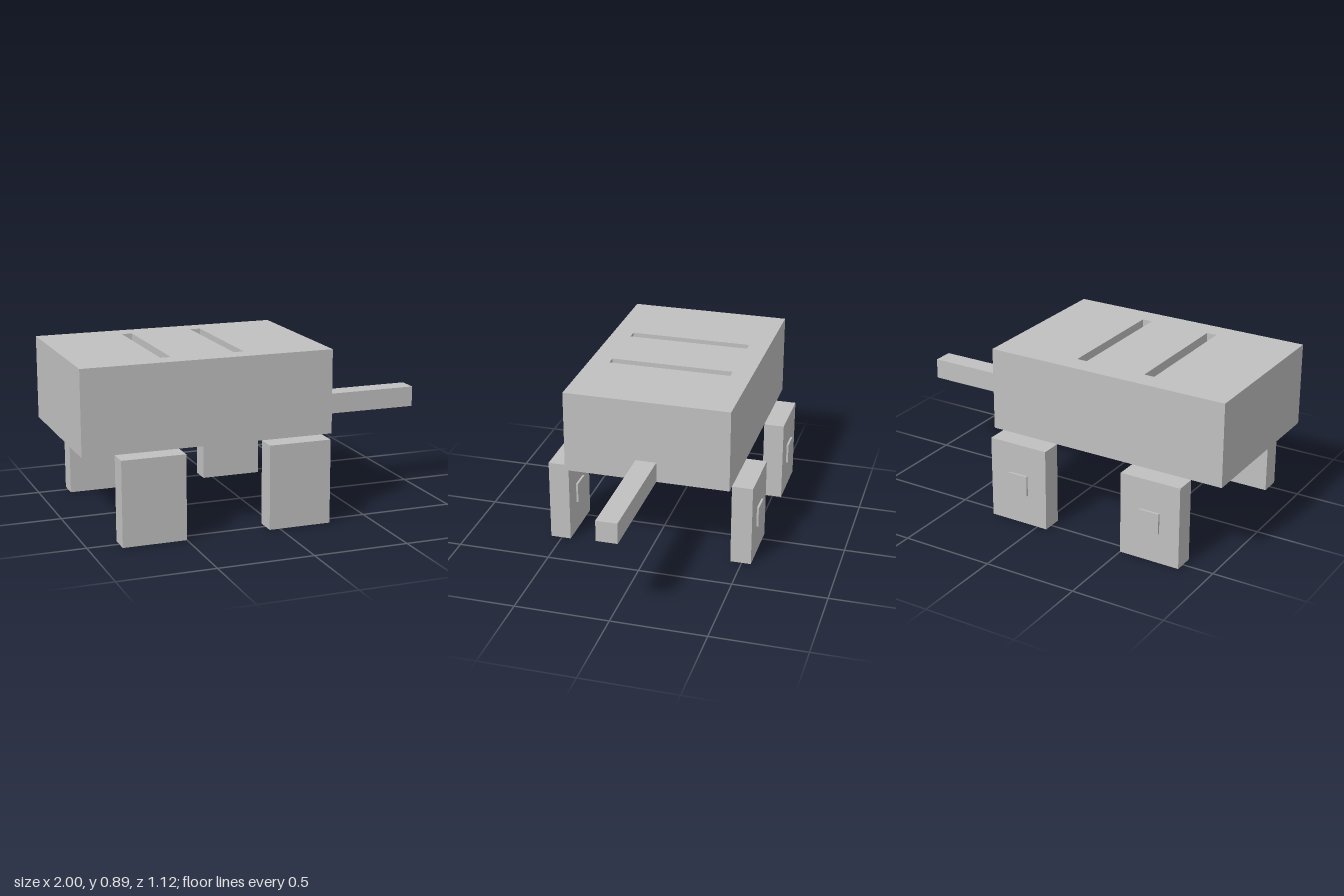
import * as THREE from 'three';

export function createModel() {
  const model = new THREE.Group();
  model.name = 'slottedBlockOnLegs';
  const grey = new THREE.MeshStandardMaterial({ color: 0xc0c0c0 });
  grey.name = 'grey';

  const U = 1 / 18;     // modelling unit
  const ZC = 0.0055;    // body centre in z, offset by the thin pads at the back

  // box given by its minimum and maximum corners
  function box(name, [x0, y0, z0], [x1, y1, z1], parent = model) {
    const mesh = new THREE.Mesh(new THREE.BoxGeometry(x1 - x0, y1 - y0, z1 - z0), grey);
    mesh.position.set((x0 + x1) / 2, (y0 + y1) / 2, (z0 + z1) / 2);
    mesh.name = name;
    parent.add(mesh);
    return mesh;
  }

  // traces a rectangle, x to the right and -z up
  function rect(path, x0, x1, halfZ) {
    path.moveTo(x0, -halfZ);
    path.lineTo(x1, -halfZ);
    path.lineTo(x1, halfZ);
    path.lineTo(x0, halfZ);
    path.closePath();
    return path;
  }

  // body with two long slots in the top
  const bottom = 8 * U, height = 8 * U, slotFloor = bottom + 2 * U;
  const slots = [-10 * U, -3 * U];
  const outline = rect(new THREE.Shape(), -1, 6 * U, 8 * U);
  for (const x of slots) outline.holes.push(rect(new THREE.Path(), x, x + U, 6 * U));
  const bodyGeo = new THREE.ExtrudeGeometry(outline, { depth: height, bevelEnabled: false });
  bodyGeo.rotateX(-Math.PI / 2);
  const body = new THREE.Mesh(bodyGeo, grey);
  body.position.set(0, bottom, ZC);
  body.name = 'body';
  model.add(body);

  // floors closing the slots
  for (const x of slots) {
    box('slotFloor', [x, bottom, ZC - 6 * U], [x + U, slotFloor, ZC + 6 * U]);
  }

  // side handle
  box('handle', [6 * U, bottom, ZC - U], [1, bottom + 2 * U, ZC + U]);

  // four slab legs, each with a small square pad on its back face
  for (const x of [-15 * U, -U]) {
    for (const z of [-10 * U, 8 * U]) {
      const leg = new THREE.Group();
      leg.name = z > 0 ? 'frontLeg' : 'backLeg';
      const back = ZC + z;
      box('legSlab', [x, 0, back], [x + 6 * U, bottom, back + 2 * U], leg);
      box('legPad', [x + 2 * U, 3 * U, back - 0.011], [x + 4 * U, 5 * U, back], leg);
      model.add(leg);
    }
  }
  return model;
}
